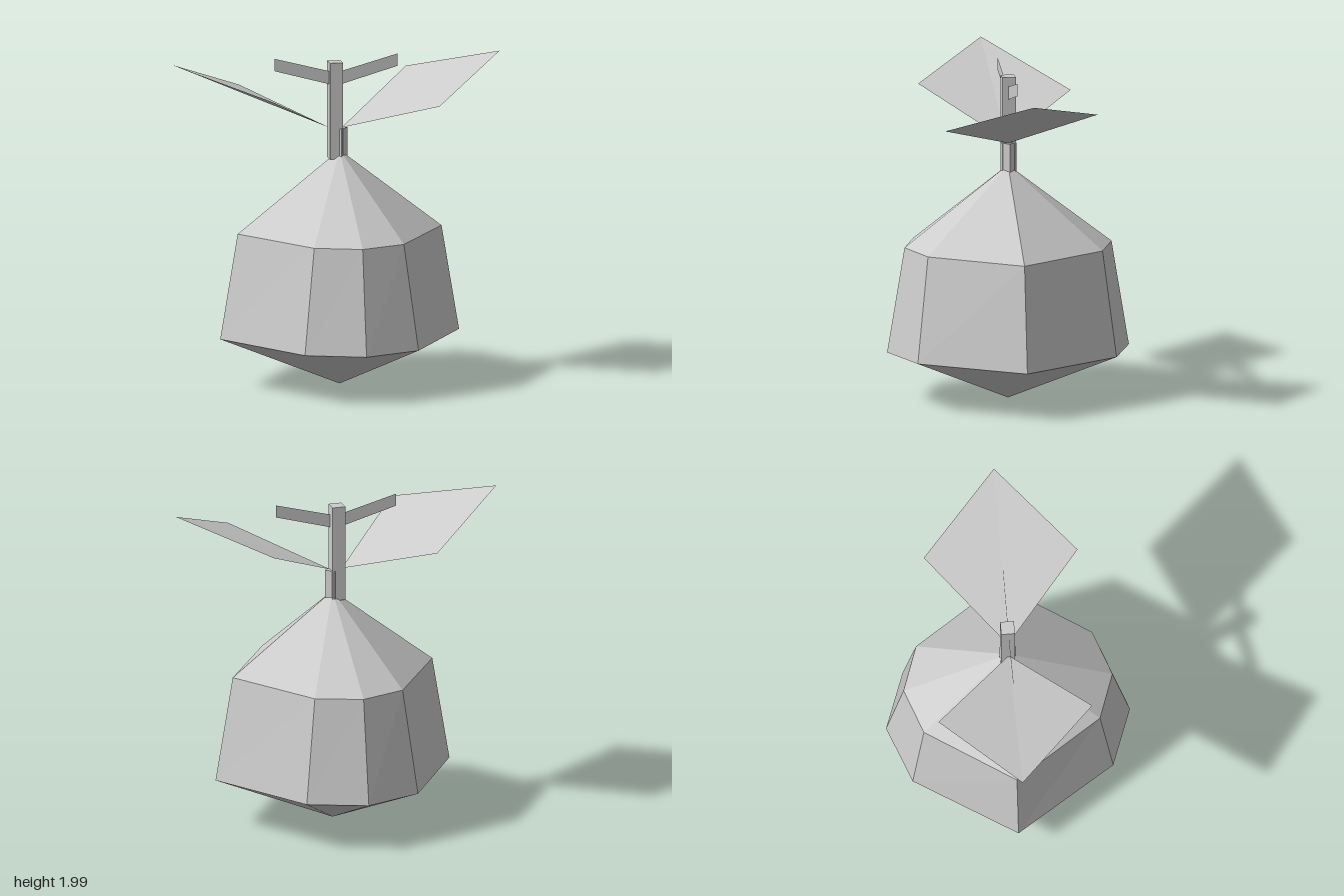
import * as THREE from 'three';

const paleGrey = new THREE.MeshStandardMaterial({ color: 0xcccccc, flatShading: true });
paleGrey.name = 'paleGrey';
const paleGreySheet = paleGrey.clone();
paleGreySheet.name = 'paleGreySheet';
paleGreySheet.side = THREE.DoubleSide;

// Build a faceted mesh from a list of triangles, each a triple of [x, y, z]
function facets(name, triangles, material) {
  const geometry = new THREE.BufferGeometry();
  geometry.setAttribute('position', new THREE.Float32BufferAttribute(triangles.flat(2), 3));
  geometry.computeVertexNormals();
  const mesh = new THREE.Mesh(geometry, material);
  mesh.name = name;
  return mesh;
}

// Thin four-cornered sheet
const sheet = (name, a, b, c, d) => facets(name, [[a, b, c], [a, c, d]], paleGreySheet);

// Eight corners around the body: wide in x at the sides, tucked in front and back
function ring(y, side, shoulder, frontZ, shoulderZ) {
  const cx = 0.022;
  return [
    [0, frontZ], [shoulder, shoulderZ], [side, 0], [shoulder, -shoulderZ],
    [0, -frontZ], [-shoulder, -shoulderZ], [-side, 0], [-shoulder, shoulderZ],
  ].map(([x, z]) => [cx + x, y, z]);
}

function createBody() {
  const low = ring(0.3, 0.73, 0.347, 0.73, 0.6);
  const high = ring(0.935, 0.623, 0.274, 0.625, 0.527);
  const base = [0.022, 0, 0];
  const peak = [0.022, 1.42, 0];
  const triangles = [];
  for (let i = 0; i < 8; i++) {
    const j = (i + 1) % 8;
    triangles.push([base, low[j], low[i]]);
    triangles.push([low[i], low[j], high[j]], [low[i], high[j], high[i]]);
    triangles.push([high[i], high[j], peak]);
  }
  return facets('body', triangles, paleGrey);
}

export function createModel() {
  const model = new THREE.Group();
  model.name = 'sproutingBulb';
  model.add(createBody());

  // Square stem
  const stem = new THREE.Mesh(new THREE.BoxGeometry(0.08, 0.585, 0.082), paleGrey);
  stem.name = 'stem';
  stem.position.set(-0.004, 1.663, -0.005);
  model.add(stem);

  // Short collar inside the foot of the stem, showing at its edges
  const collar = new THREE.Mesh(new THREE.CylinderGeometry(0.048, 0.048, 0.18, 4), paleGrey);
  collar.name = 'stemCollar';
  collar.position.set(0.022, 1.465, -0.003);
  model.add(collar);

  for (const s of [1, -1]) {
    const side = s > 0 ? 'left' : 'right';
    const x = s > 0 ? 0.53 : -0.49;
    // Large leaf, twisted so that opposite edges dip on the two sides
    model.add(sheet(side + 'Leaf',
      [s * 0.035, 1.555, 0], [x, 1.75, s * 0.46], [s, 1.98, 0], [x, 1.82, -s * 0.46]));
    // Small upright sprout
    model.add(sheet(side + 'Sprout',
      [0, 1.81, 0], [s * 0.375, 1.915, 0], [s * 0.375, 1.99, 0], [0, 1.89, 0]));
  }
  return model;
}
